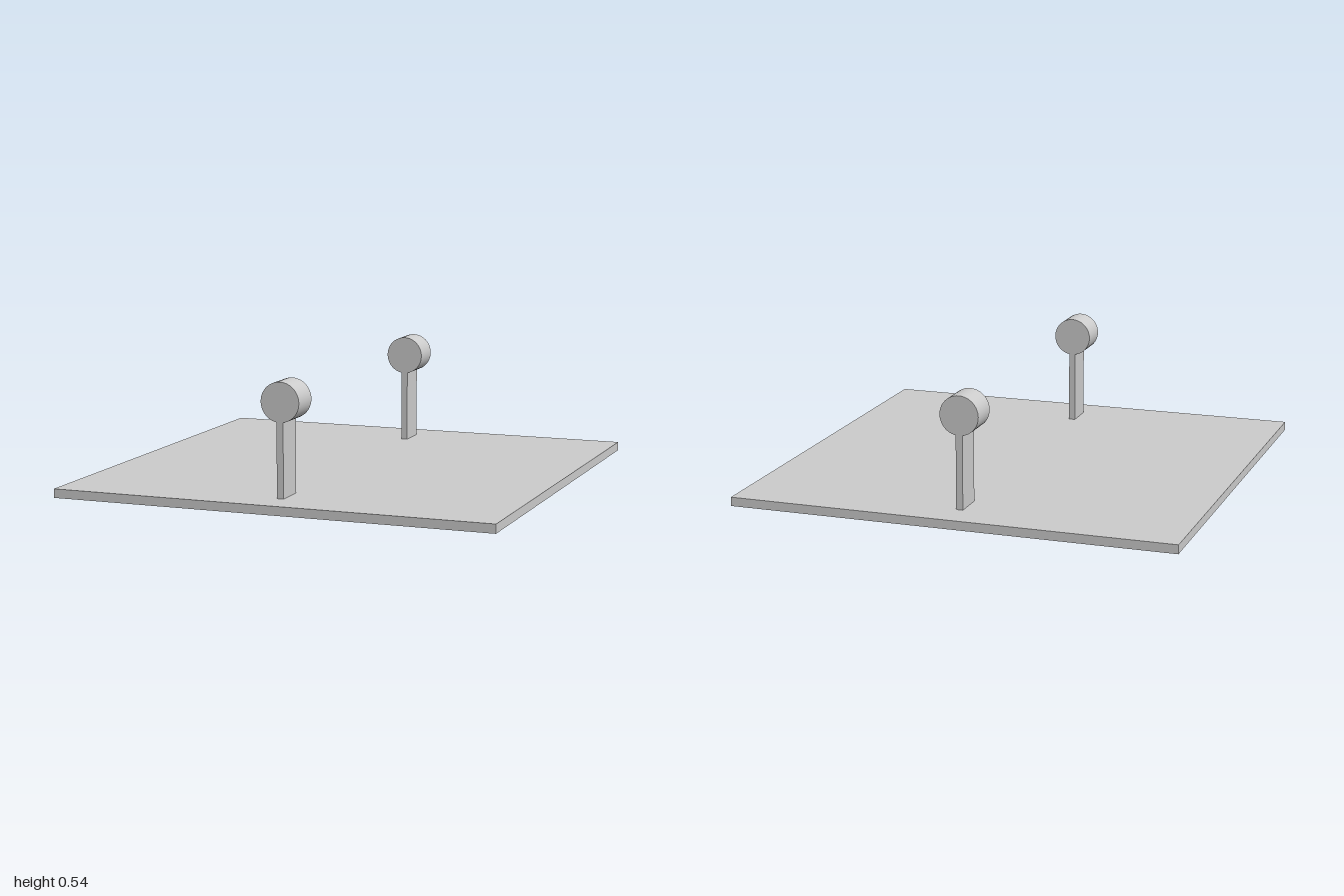
import * as THREE from 'three';

const BASE_HEIGHT = 0.04;
const POST_Z = 0.78;
const DEPTH = 0.14;
const DISC_RADIUS = 0.087;
const DISC_Y = 0.453;

export function createModel() {
  const model = new THREE.Group();
  model.name = 'plateWithPosts';
  const material = new THREE.MeshStandardMaterial({ color: 0xcccccc });

  const add = (parent, name, geometry, x, y, z) => {
    const mesh = new THREE.Mesh(geometry, material);
    mesh.name = name;
    mesh.position.set(x, y, z);
    parent.add(mesh);
  };

  // Thin square base
  add(model, 'basePlate', new THREE.BoxGeometry(2, BASE_HEIGHT, 2), 0, BASE_HEIGHT / 2, 0);

  // Flat upright, its top sunk slightly into the drum
  const postTop = DISC_Y - DISC_RADIUS + 0.01;
  const postHeight = postTop - BASE_HEIGHT;
  const postGeometry = new THREE.BoxGeometry(0.03, postHeight, DEPTH);

  // Round drum with its axis along z
  const drumGeometry = new THREE.CylinderGeometry(DISC_RADIUS, DISC_RADIUS, DEPTH, 48).rotateX(Math.PI / 2);

  // One marker near the front edge and one near the back
  for (const [name, side] of [['frontMarker', 1], ['backMarker', -1]]) {
    const marker = new THREE.Group();
    marker.name = name;
    marker.position.z = side * POST_Z;
    add(marker, 'post', postGeometry, 0, BASE_HEIGHT + postHeight / 2, 0);
    add(marker, 'drum', drumGeometry, 0, DISC_Y, 0);
    model.add(marker);
  }

  return model;
}
